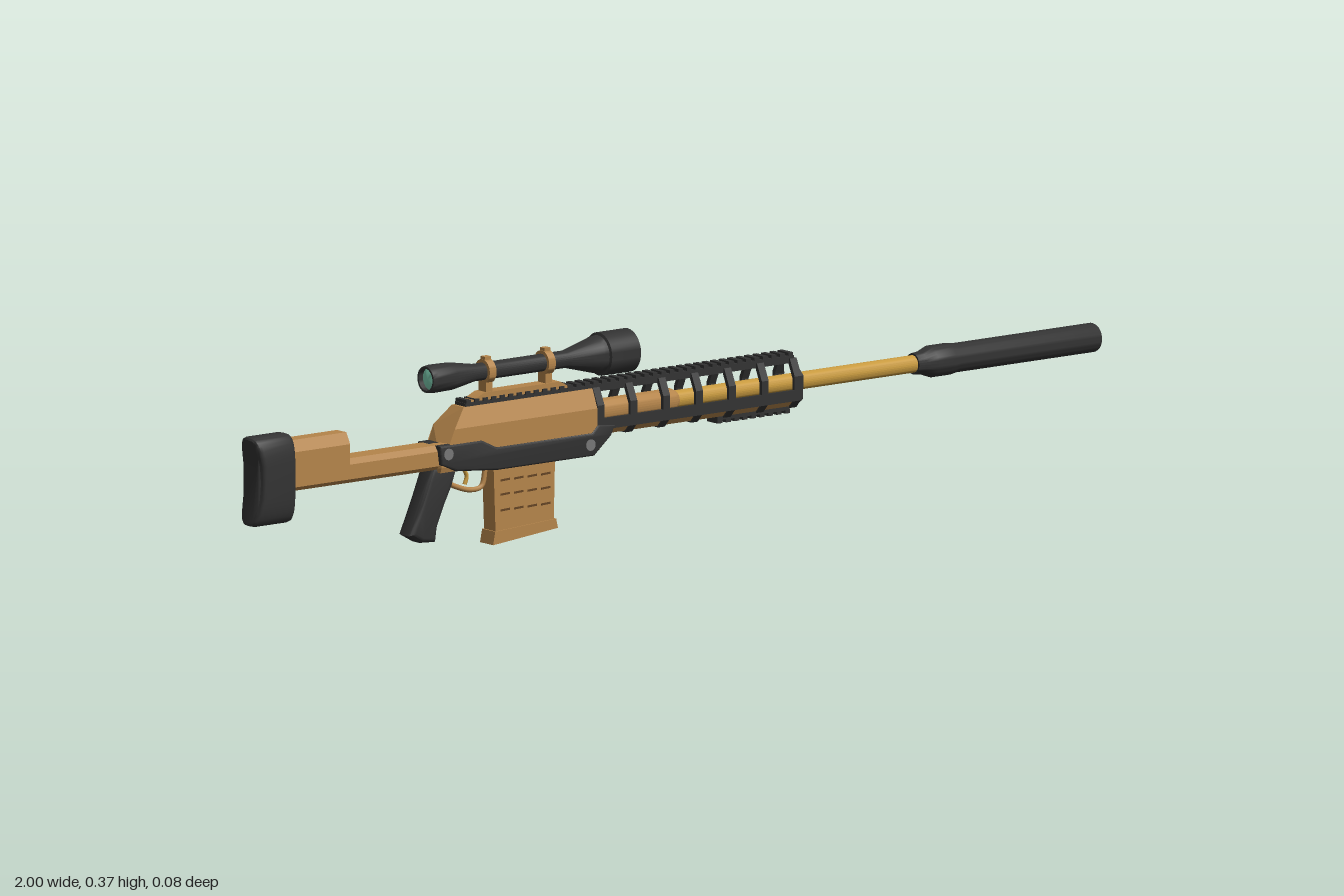
import * as THREE from 'three';
import { toCreasedNormals } from 'three/addons/utils/BufferGeometryUtils.js';

const mat = (name, color) => Object.assign(new THREE.MeshStandardMaterial({ color }), { name });

export function createModel() {
  const model = new THREE.Group();
  const black = mat('black polymer', 0x333333);
  const tan = mat('tan', 0xb5854b);
  const gold = mat('gold', 0xc99b40);
  const brown = mat('dark brown', 0x654524);
  const steel = mat('steel', 0x777777);
  const glass = mat('lens green', 0x80d2b4);
  const AXIS = 0.223, SCOPE = 0.33;

  const add = (name, geometry, material, x = 0, y = 0, z = 0, parent = model) => {
    const m = new THREE.Mesh(geometry, material);
    m.name = name;
    m.position.set(x, y, z);
    parent.add(m);
    return m;
  };
  const group = (name) => {
    const g = new THREE.Group();
    g.name = name;
    model.add(g);
    return g;
  };
  const box = (name, material, x0, x1, y0, y1, halfZ, parent = model) =>
    add(name, new THREE.BoxGeometry(x1 - x0, y1 - y0, halfZ * 2), material, (x0 + x1) / 2, (y0 + y1) / 2, 0, parent);
  const shapeOf = (pts) => new THREE.Shape(pts.map(([x, y]) => new THREE.Vector2(x, y)));

  // Side profile (x, y) extruded evenly across z
  const slab = (pts, halfZ, bevel = 0) => {
    const g = new THREE.ExtrudeGeometry(shapeOf(pts), {
      depth: 2 * (halfZ - bevel), bevelEnabled: bevel > 0, bevelSize: bevel,
      bevelThickness: bevel, bevelOffset: -bevel, bevelSegments: 3,
    });
    return toCreasedNormals(g.translate(0, 0, bevel - halfZ), 0.6);
  };
  // Half cross-section (z, y), bottom to top, mirrored and extruded along x
  const mirrored = (half) => half.concat(half.map(([z, y]) => [-z, y]).reverse());
  const beam = (half, x0, x1, holeHalf) => {
    const s = shapeOf(mirrored(half));
    if (holeHalf) s.holes.push(shapeOf(mirrored(holeHalf)));
    const g = new THREE.ExtrudeGeometry(s, { depth: x1 - x0, bevelEnabled: false });
    return g.rotateY(Math.PI / 2).translate(x0, 0, 0);
  };
  // Turned profile of (x, radius) pairs around the x axis
  const turned = (pts, segments = 32) => toCreasedNormals(
    new THREE.LatheGeometry(pts.map(([x, r]) => new THREE.Vector2(r, x)), segments).rotateZ(-Math.PI / 2), 0.5);

  // Butt pad: oval section with a hollowed rear face
  const oval = [];
  for (let i = 0; i < 32; i++) {
    const a = (i / 32) * Math.PI * 2, c = Math.cos(a), s = Math.sin(a);
    oval.push([0.034 * Math.sign(c) * Math.abs(c) ** 0.6, 0.185 + 0.085 * Math.sign(s) * Math.abs(s) ** 0.6]);
  }
  const pad = new THREE.ExtrudeGeometry(shapeOf(oval), {
    depth: 0.075, bevelThickness: 0.01, bevelSize: 0.01, bevelOffset: -0.01, bevelSegments: 3,
  }).rotateY(Math.PI / 2).translate(-0.99, 0, 0);
  const pp = pad.attributes.position;
  for (let i = 0; i < pp.count; i++) {
    if (pp.getX(i) > -0.95) continue;
    const t = (pp.getY(i) - 0.185) / 0.085;
    pp.setX(i, pp.getX(i) + 0.016 * (1 - t * t));
  }
  add('buttPad', toCreasedNormals(pad, 0.6), black);

  // Stock bar and raised cheek rest
  add('stock', beam([[0.018, 0.16], [0.026, 0.168], [0.026, 0.196], [0.02, 0.207]], -0.91, -0.54), tan);
  add('cheekRest', beam([[0.026, 0.19], [0.026, 0.235], [0.014, 0.256]], -0.91, -0.775), tan);

  // Receiver with sloped rear
  const receiver = beam([[0.03, 0.155], [0.033, 0.165], [0.033, 0.235], [0.018, 0.271]], -0.565, -0.19);
  const rp = receiver.attributes.position;
  for (let i = 0; i < rp.count; i++) {
    if (rp.getX(i) < -0.4) rp.setX(i, rp.getX(i) + Math.max(0, rp.getY(i) - 0.2) * 0.9);
  }
  receiver.computeVertexNormals();
  add('receiver', receiver, tan);
  add('lowerFrame', slab([[-0.57, 0.207], [-0.47, 0.207], [-0.435, 0.19], [-0.21, 0.19], [-0.195, 0.205],
    [-0.155, 0.2], [-0.165, 0.18], [-0.205, 0.146], [-0.43, 0.146], [-0.53, 0.155], [-0.565, 0.17]], 0.0355, 0.004), black);
  for (const [x, y] of [[-0.55, 0.19], [-0.215, 0.168]]) {
    add('framePin', new THREE.CylinderGeometry(0.011, 0.011, 0.074, 16).rotateX(Math.PI / 2), steel, x, y);
  }

  // Pistol grip, trigger and guard
  add('grip', slab([[-0.575, 0.165], [-0.515, 0.16], [-0.527, 0.125], [-0.545, 0.09], [-0.562, 0.05], [-0.566, 0.022],
    [-0.6, 0.024], [-0.628, 0.04], [-0.612, 0.075], [-0.597, 0.11], [-0.585, 0.14]], 0.021, 0.01), black);
  const guard = new THREE.CatmullRomCurve3([[-0.53, 0.13], [-0.505, 0.118], [-0.47, 0.108], [-0.445, 0.112], [-0.436, 0.148]]
    .map(([x, y]) => new THREE.Vector3(x, y, 0)));
  add('triggerGuard', new THREE.TubeGeometry(guard, 20, 0.005, 8), tan);
  const trigger = new THREE.CatmullRomCurve3([[-0.487, 0.15], [-0.48, 0.135], [-0.485, 0.12]]
    .map(([x, y]) => new THREE.Vector3(x, y, 0)));
  add('trigger', new THREE.TubeGeometry(trigger, 8, 0.004, 8), gold);

  // Magazine with grooved sides and base plate
  const magazine = group('magazine');
  add('magazineBody', slab([[-0.43, 0.15], [-0.285, 0.15], [-0.288, 0.025], [-0.425, 0.015]], 0.0175), tan, 0, 0, 0, magazine);
  add('magazineBase', slab([[-0.428, 0.026], [-0.284, 0.034], [-0.28, 0.016], [-0.433, 0.001]], 0.02), tan, 0, 0, 0, magazine);
  for (const y of [0.122, 0.095, 0.065]) {
    for (let i = 0; i < 4; i++) {
      const x = -0.414 + i * 0.032;
      box('magazineGroove', brown, x, x + 0.022, y - 0.002, y + 0.002, 0.0182, magazine).rotation.z = 0.04;
    }
  }

  // Barrel, barrel nut and muzzle device
  add('barrelNut', turned([[-0.2, 0], [-0.2, 0.022], [0, 0.022], [0.01, 0.017], [0.01, 0]]), tan, 0, AXIS);
  add('barrel', turned([[-0.2, 0], [-0.2, 0.0165], [0.6, 0.0165], [0.6, 0]]), gold, 0, AXIS);
  add('suppressor', turned([[0.573, 0], [0.573, 0.02], [0.59, 0.022], [0.612, 0.03], [0.655, 0.03], [0.668, 0.0275],
    [0.996, 0.0275], [1, 0.0255], [1, 0.009], [0.95, 0.009], [0.95, 0]]), black, 0, AXIS);

  // Open handguard: ribs, side strips, tan floor and rails
  const handguard = group('handguard');
  const outer = [[0.018, 0.178], [0.034, 0.196], [0.034, 0.24], [0.019, 0.272]];
  const inner = [[0.014, 0.186], [0.027, 0.2], [0.027, 0.236], [0.014, 0.264]];
  for (let i = 0; i < 7; i++) {
    const x = -0.197 + i * 0.0775;
    add('handguardRib', beam(outer, x, x + 0.016, inner), black, 0, 0, 0, handguard);
  }
  add('handguardFloor', beam([[0.016, 0.181], [0.031, 0.197], [0.031, 0.2]], -0.19, 0.28), tan, 0, 0, 0, handguard);
  for (const side of [-1, 1]) {
    add('sideStrip', new THREE.BoxGeometry(0.48, 0.021, 0.006), black, 0.045, 0.204, side * 0.0315, handguard);
  }
  const nose = beam(outer, 0.27, 0.297, inner);
  const np = nose.attributes.position;
  for (let i = 0; i < np.count; i++) {
    if (np.getX(i) > 0.28) np.setX(i, np.getX(i) - Math.abs(np.getY(i) - 0.22) * 0.4);
  }
  nose.computeVertexNormals();
  add('handguardNose', nose, black, 0, 0, 0, handguard);

  // Toothed rails above and below
  const rail = group('rails');
  box('topRail', black, -0.495, 0.28, 0.263, 0.277, 0.0165, rail);
  for (let i = 0; i < 39; i++) {
    const x = -0.493 + i * 0.02;
    box('topRailTooth', black, x, x + 0.011, 0.275, 0.283, 0.0165, rail);
  }
  box('bottomRail', black, 0.1, 0.27, 0.174, 0.186, 0.016, rail);
  for (let i = 0; i < 9; i++) {
    const x = 0.1 + i * 0.02;
    box('bottomRailTooth', black, x, x + 0.011, 0.168, 0.176, 0.016, rail);
  }

  // Scope with recessed lenses
  const scope = group('scope');
  add('scopeBody', turned([[-0.565, 0], [-0.565, 0.021], [-0.577, 0.021], [-0.577, 0.025], [-0.565, 0.027], [-0.52, 0.026],
    [-0.465, 0.0165], [-0.25, 0.0165], [-0.18, 0.035], [-0.17, 0.036], [-0.168, 0.041], [-0.1, 0.041],
    [-0.1, 0.036], [-0.115, 0.036], [-0.115, 0]]), black, 0, SCOPE, 0, scope);
  add('frontLens', turned([[-0.114, 0.036], [-0.107, 0.027], [-0.103, 0.014], [-0.102, 0]]), glass, 0, SCOPE, 0, scope);
  add('rearLens', turned([[-0.573, 0], [-0.571, 0.012], [-0.567, 0.021]]), glass, 0, SCOPE, 0, scope);

  // Scope mount: tapered base, posts and rings
  add('mountBase', slab([[-0.48, 0.278], [-0.245, 0.278], [-0.27, 0.292], [-0.45, 0.292]], 0.014), tan, 0, 0, 0, scope);
  for (const x of [-0.435, -0.295]) {
    add('scopeRing', turned([[-0.008, 0.015], [-0.008, 0.023], [0.008, 0.023], [0.008, 0.015]]), tan, x, SCOPE, 0, scope);
    box('ringPost', tan, x - 0.008, x + 0.008, 0.285, 0.315, 0.011, scope);
    box('ringClamp', tan, x - 0.007, x + 0.007, 0.35, 0.358, 0.007, scope);
  }
  return model;
}
